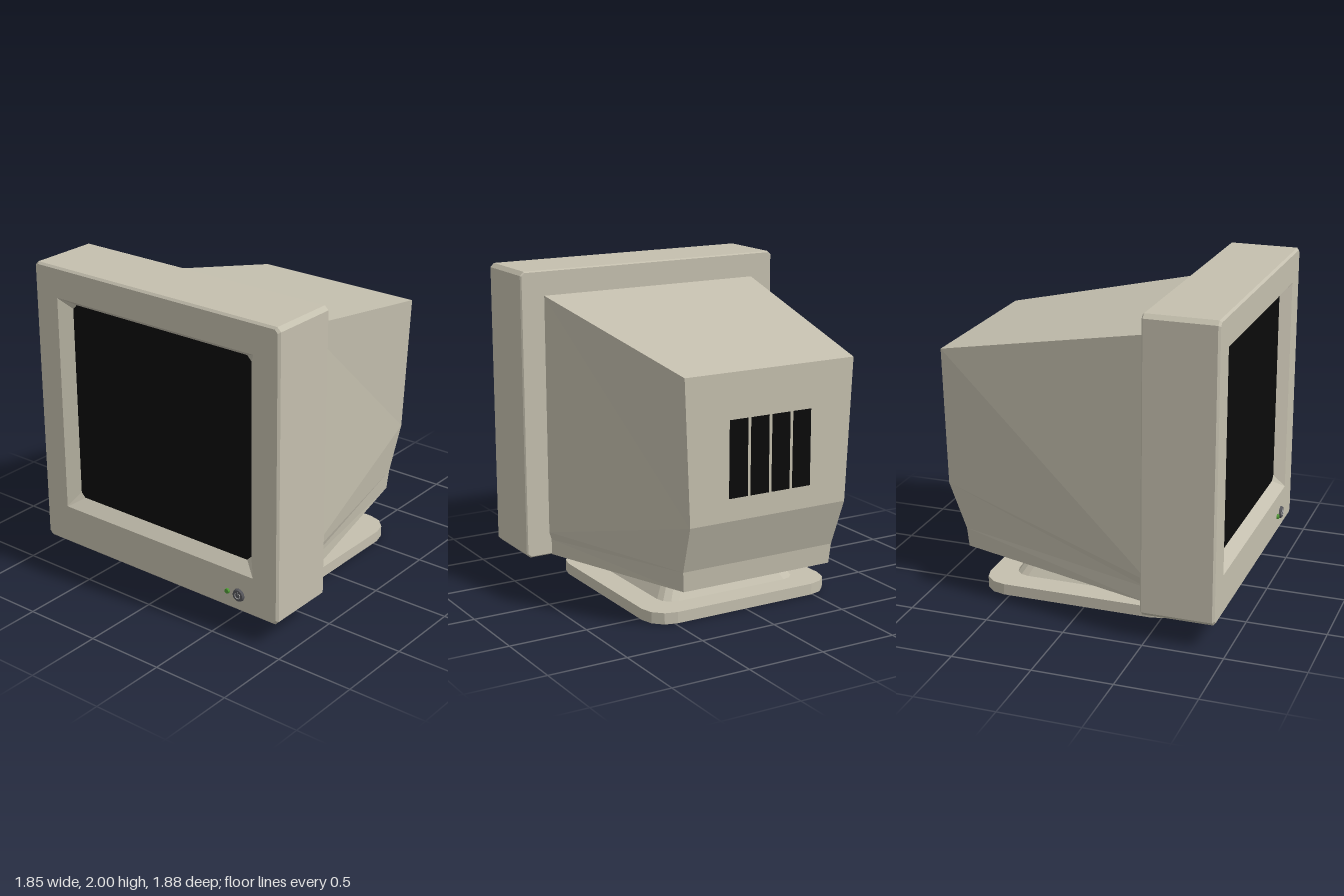
import * as THREE from 'three';

const mat = (color) => new THREE.MeshStandardMaterial({ color, flatShading: true });

// Rectangle outline with cut or rounded corners, mirrored in x, counter-clockwise
function rectRing(w, bottom, top, z, r, n = 1) {
  const right = [];
  for (const [cy, start] of [[bottom + r, -Math.PI / 2], [top - r, 0]]) {
    for (let i = 0; i <= n; i++) {
      const a = start + (i / n) * Math.PI / 2;
      right.push([w - r + r * Math.cos(a), cy + r * Math.sin(a), z]);
    }
  }
  return mirrorRing(right);
}

// Complete a right half (listed bottom to top) with its mirror image
function mirrorRing(right) {
  return [...right, ...right.slice().reverse().map(([x, y, z]) => [-x, y, z])];
}

// Skin a list of rings running from +z to -z, with optional end caps
function loft(rings, capFront, capBack) {
  const pos = [];
  const tri = (a, b, c) => pos.push(...a, ...b, ...c);
  for (let k = 0; k + 1 < rings.length; k++) {
    const A = rings[k], B = rings[k + 1], n = A.length;
    for (let i = 0; i < n; i++) {
      const j = (i + 1) % n;
      tri(A[i], B[i], A[j]);
      tri(A[j], B[i], B[j]);
    }
  }
  const cap = (R, flip) => {
    const m = R.length - 1;
    for (let i = 0; i < R.length / 2 - 1; i++) {
      const [a, b, c, d] = [R[i], R[i + 1], R[m - i - 1], R[m - i]];
      if (flip) { tri(a, c, b); tri(a, d, c); } else { tri(a, b, c); tri(a, c, d); }
    }
  };
  if (capFront) cap(rings[0], false);
  if (capBack) cap(rings[rings.length - 1], true);
  const g = new THREE.BufferGeometry();
  g.setAttribute('position', new THREE.Float32BufferAttribute(pos, 3));
  g.computeVertexNormals();
  return g;
}

export function createModel() {
  const model = new THREE.Group();
  model.name = 'crtMonitor';
  const beige = mat(0xc4bfae), black = mat(0x0a0a0a), grey = mat(0x55555a);
  const green = mat(0x4f9a35), pale = mat(0xb0b0b0);

  const add = (name, geometry, material, x = 0, y = 0, z = 0, parent = model) => {
    const m = new THREE.Mesh(geometry, material);
    m.name = name;
    m.position.set(x, y, z);
    parent.add(m);
    return m;
  };

  // Front frame with a sloped recess around the screen
  add('frontFrame', loft([
    rectRing(0.68, 0.47, 1.76, 0.85, 0.03),
    rectRing(0.745, 0.405, 1.805, 0.917, 0.002),
    rectRing(0.912, 0.163, 1.987, 0.917, 0.02),
    rectRing(0.925, 0.15, 2.0, 0.904, 0.025),
    rectRing(0.925, 0.15, 2.0, 0.468, 0.025),
    rectRing(0.917, 0.158, 1.992, 0.46, 0.02),
  ], false, true), beige);

  // Screen
  add('screen', loft([rectRing(0.68, 0.47, 1.76, 0.851, 0.03), rectRing(0.68, 0.47, 1.76, 0.84, 0.03)], true, true), black);

  // Tapered rear housing with a creased underside
  add('rearHousing', loft([
    mirrorRing([[0.75, 0.15, 0.46], [0.75, 0.25, 0.46], [0.765, 0.30, 0.46], [0.765, 1.84, 0.46]]),
    mirrorRing([[0.52, 0.245, -0.82], [0.53, 0.37, -0.83], [0.545, 0.67, -0.935], [0.585, 1.56, -0.94]]),
  ], false, true), beige);

  // Vent slots in the back
  const vents = new THREE.Group();
  vents.name = 'rearVents';
  model.add(vents);
  for (let i = 0; i < 4; i++) {
    add('ventSlot', new THREE.BoxGeometry(0.125, 0.47, 0.02), black, (i - 1.5) * 0.147, 1.045, -0.932, vents);
  }

  // Stand: parts are lofted along z, then turned so z points up
  const upright = (rings) => loft(rings, true, true).rotateX(-Math.PI / 2);
  const standRing = (half, y, r) => rectRing(half, -half, half, y, r, 3);
  add('standBase', upright([
    standRing(0.645, 0.075, 0.16), standRing(0.645, 0.004, 0.16), standRing(0.637, 0, 0.155),
  ]), beige, 0, 0, -0.05);
  add('standNeck', upright([
    standRing(0.385, 0.22, 0.08), standRing(0.485, 0.07, 0.1),
  ]), beige, 0, 0, -0.055);

  // Power light and power button
  const disc = (r, h, n) => new THREE.CylinderGeometry(r * 0.85, r, h, n).rotateX(Math.PI / 2);
  add('powerLight', disc(0.018, 0.015, 10), green, 0.555, 0.26, 0.922);
  add('powerButton', disc(0.042, 0.016, 16), grey, 0.64, 0.26, 0.924);
  const mark = new THREE.TorusGeometry(0.019, 0.003, 4, 14, Math.PI * 1.6).rotateZ(Math.PI * 0.7);
  add('buttonRing', mark, pale, 0.64, 0.26, 0.932);
  add('buttonTick', new THREE.BoxGeometry(0.005, 0.02, 0.004), pale, 0.64, 0.275, 0.932);

  return model;
}
